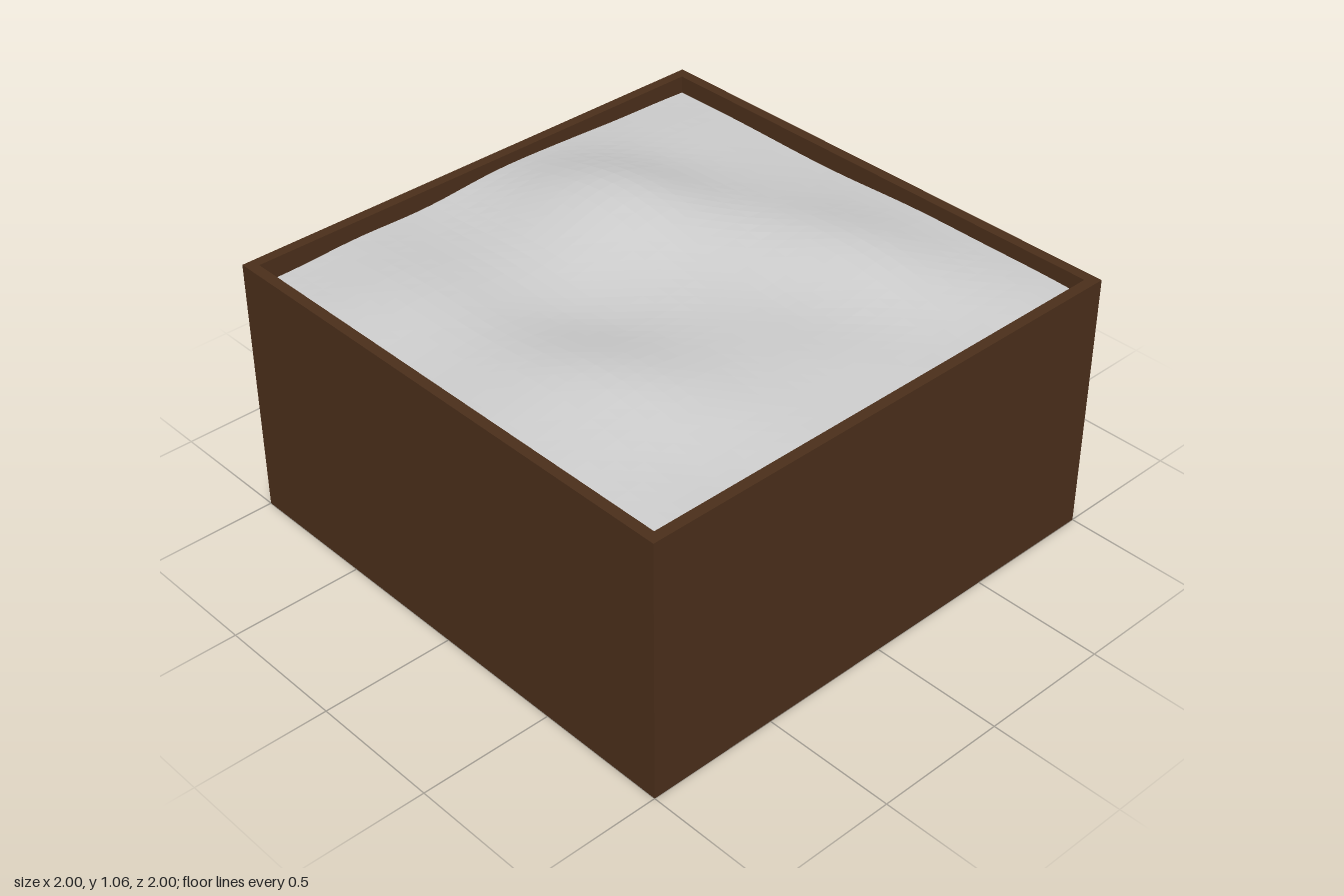
import * as THREE from 'three';

const WALL = 0.04, HEIGHT = 1, INNER = 1 - WALL;

// Mounds and hollows on the fill: x, z, height, spread in x, spread in z
const MOUNDS = [
  [-0.42, -0.18, 0.135, 0.33, 0.26],
  [0.27, 0.56, 0.085, 0.30, 0.27],
  [0.26, -0.58, 0.08, 0.30, 0.20],
  [-0.5, 0.62, 0.045, 0.25, 0.18],
  [0.6, 0.1, 0.03, 0.22, 0.25],
  [0.72, -0.88, 0.02, 0.25, 0.15],
  [-0.75, -0.8, 0.02, 0.2, 0.15],
  [-0.1, 0.32, -0.02, 0.22, 0.2],
];

function fillHeight(x, z) {
  let y = 0.925;
  for (const [cx, cz, h, sx, sz] of MOUNDS) {
    y += h * Math.exp(-0.5 * (((x - cx) / sx) ** 2 + ((z - cz) / sz) ** 2));
  }
  // fine unevenness
  return y + 0.004 * Math.sin(7 * x + 3 * z) * Math.cos(9 * z - 2 * x);
}

export function createModel() {
  const model = new THREE.Group();
  const wood = new THREE.MeshStandardMaterial({ color: 0x4a2e1a });
  const soil = new THREE.MeshStandardMaterial({
    color: 0xcccccc, flatShading: true, side: THREE.DoubleSide,
  });

  const add = (name, geometry, material) => {
    const mesh = new THREE.Mesh(geometry, material);
    mesh.name = name;
    model.add(mesh);
    return mesh;
  };

  // Four walls as one square frame
  const square = (Type, r) => new Type([[-r, -r], [r, -r], [r, r], [-r, r]]
    .map(([x, y]) => new THREE.Vector2(x, y)));
  const outline = square(THREE.Shape, 1);
  outline.holes.push(square(THREE.Path, INNER));
  const frame = new THREE.ExtrudeGeometry(outline, { depth: HEIGHT, bevelEnabled: false });
  frame.rotateX(-Math.PI / 2);
  add('boxWalls', frame, wood);

  // Floor between the walls
  const floor = add('boxFloor', new THREE.BoxGeometry(2 * INNER, WALL, 2 * INNER), wood);
  floor.position.y = WALL / 2;

  // Uneven fill surface
  const fill = new THREE.PlaneGeometry(2 * INNER, 2 * INNER, 32, 32);
  fill.rotateX(-Math.PI / 2);
  const p = fill.attributes.position;
  for (let i = 0; i < p.count; i++) p.setY(i, fillHeight(p.getX(i), p.getZ(i)));
  fill.computeVertexNormals();
  add('fillSurface', fill, soil);

  return model;
}
